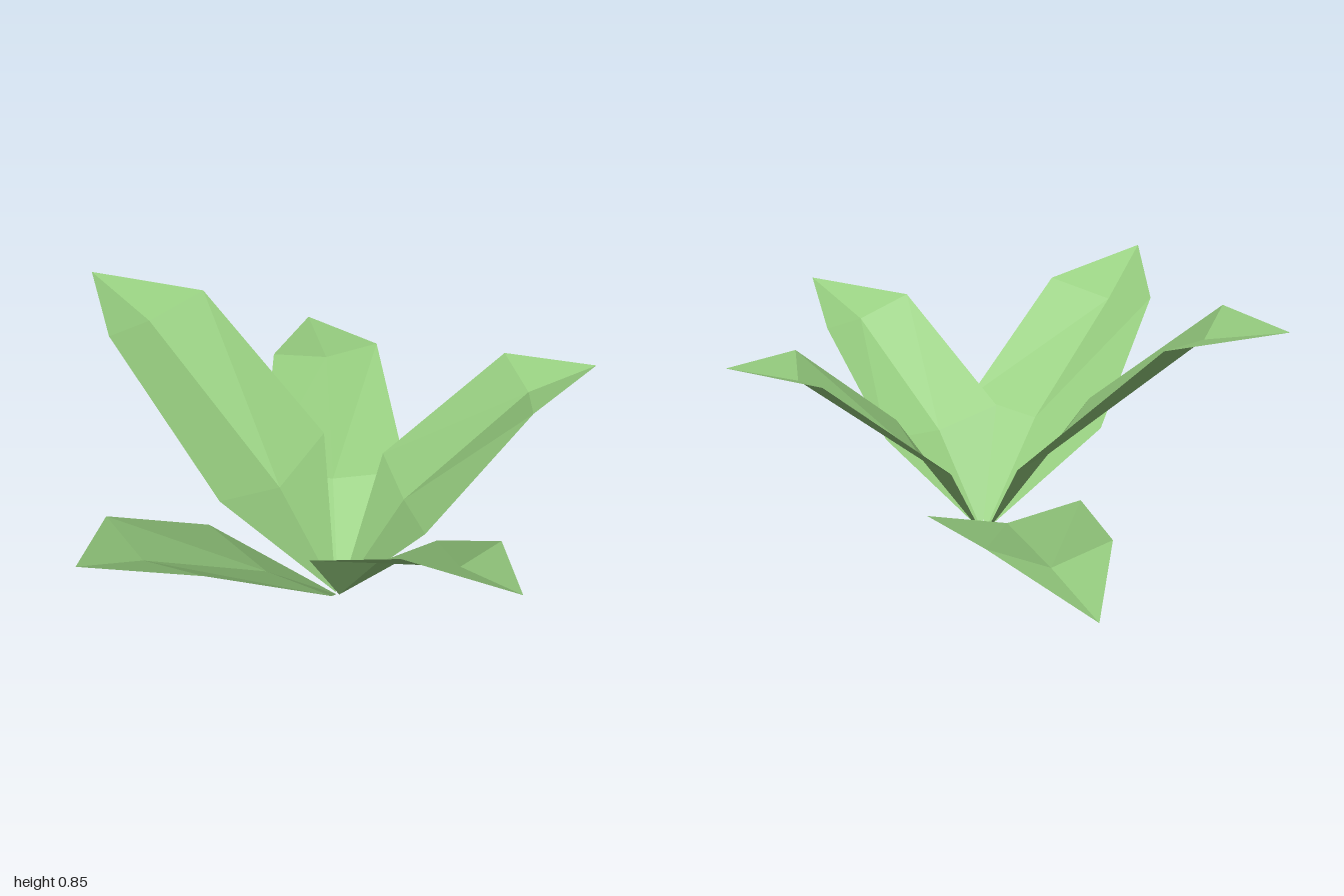
import * as THREE from 'three';

const leafGreen = new THREE.MeshStandardMaterial({ color: 0x97ce80, side: THREE.DoubleSide, flatShading: true });
leafGreen.name = 'leafGreen';

const ROOT = [0.115, 0, 0.07];

// Each leaf: two cross-sections (right edge, midrib, left edge seen along the leaf) and a tip.
const LEAVES = {
  leftLeaf: {
    lower: [[-0.04, 0.38, -0.24], [-0.10, 0.32, 0.01], [-0.20, 0.41, 0.255]],
    upper: [[-0.46, 0.80, -0.285], [-0.565, 0.77, -0.10], [-0.61, 0.81, 0.09]],
    tip: [-0.805, 0.845, -0.205],
  },
  frontLeftLeaf: {
    lower: [[-0.24, 0.31, 0.25], [-0.01, 0.28, 0.37], [0.22, 0.31, 0.45]],
    upper: [[-0.36, 0.61, 0.675], [-0.21, 0.565, 0.77], [-0.005, 0.61, 0.83]],
    tip: [-0.29, 0.69, 0.995],
  },
  frontRightLeaf: {
    lower: [[0.115, 0.33, 0.34], [0.285, 0.28, 0.225], [0.43, 0.30, 0.085]],
    upper: [[0.46, 0.61, 0.59], [0.60, 0.55, 0.495], [0.68, 0.56, 0.36]],
    tip: [0.805, 0.63, 0.655],
  },
  backLeaf: {
    lower: [[0.22, 0.245, -0.31], [-0.01, 0.205, -0.245], [-0.22, 0.25, -0.15]],
    upper: [[-0.035, 0.41, -0.785], [-0.205, 0.345, -0.745], [-0.36, 0.385, -0.64]],
    tip: [-0.36, 0.34, -1.0],
  },
  backRightLeaf: {
    lower: [[0.405, 0.35, 0.13], [0.28, 0.31, -0.07], [0.16, 0.35, -0.235]],
    upper: [[0.65, 0.675, -0.12], [0.60, 0.645, -0.28], [0.49, 0.685, -0.415]],
    tip: [0.78, 0.715, -0.385],
  },
};

// Folded low-poly leaf: fan from the root, a strip of two quads, fan to the tip.
function makeLeaf(name, { lower, upper, tip }) {
  // Start each leaf just off the shared root so the bases stay separate
  const dx = lower[1][0] - ROOT[0], dz = lower[1][2] - ROOT[2];
  const s = 0.008 / Math.hypot(dx, dz);
  const base = [ROOT[0] + dx * s, 0, ROOT[2] + dz * s];
  const points = [];
  for (let i = 0; i < 2; i++) {
    const a = lower[i], b = lower[i + 1], c = upper[i], d = upper[i + 1];
    points.push(base, a, b);
    points.push(a, c, b, b, c, d);
    points.push(c, tip, d);
  }
  const geometry = new THREE.BufferGeometry();
  geometry.setAttribute('position', new THREE.Float32BufferAttribute(points.flat(), 3));
  geometry.computeVertexNormals();
  const mesh = new THREE.Mesh(geometry, leafGreen);
  mesh.name = name;
  return mesh;
}

export function createModel() {
  const plant = new THREE.Group();
  plant.name = 'leafyPlant';
  for (const [name, shape] of Object.entries(LEAVES)) plant.add(makeLeaf(name, shape));
  return plant;
}
